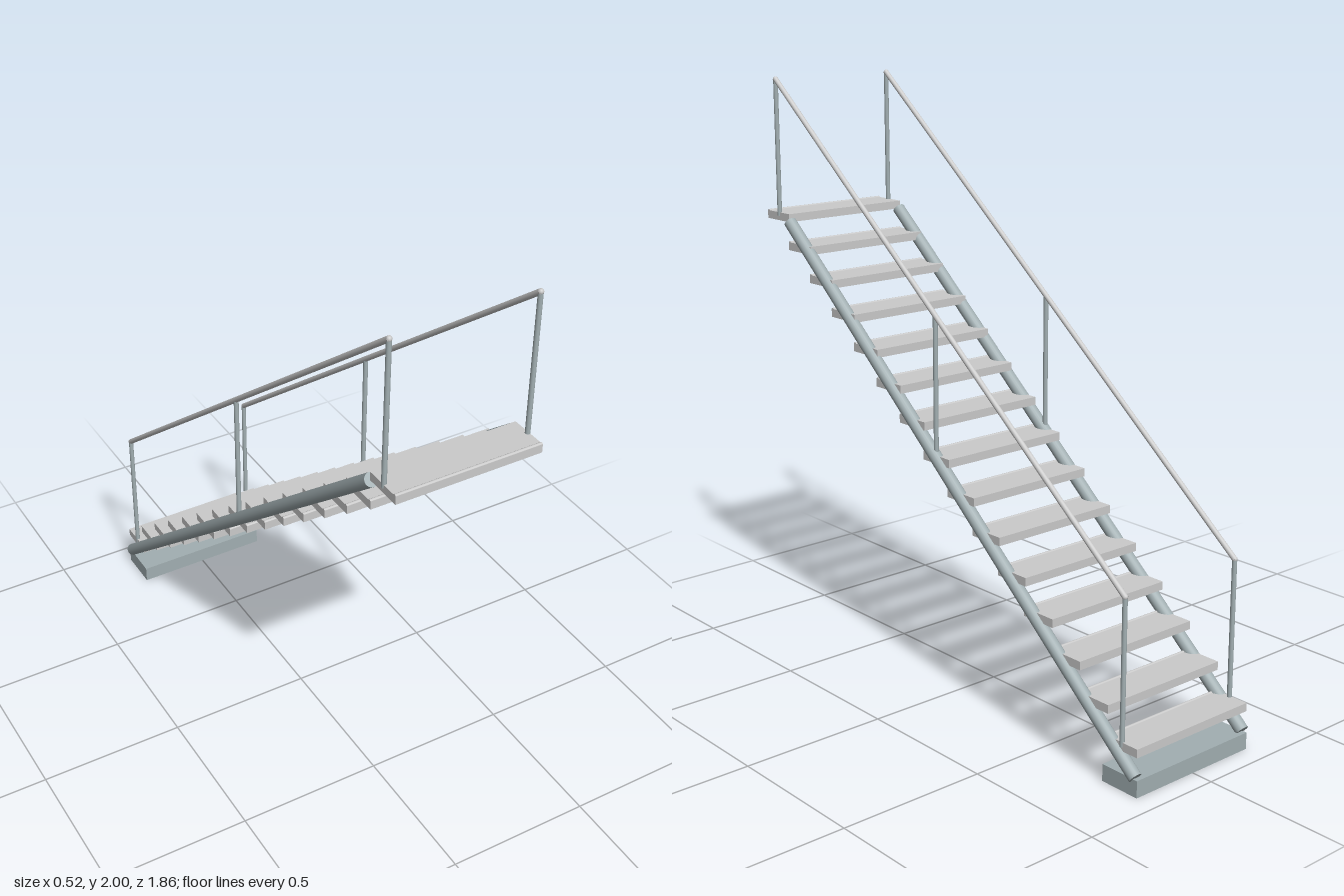
import * as THREE from 'three';

const grey = new THREE.MeshStandardMaterial({ color: 0xcccccc });
const steel = new THREE.MeshStandardMaterial({ color: 0xa2afb2 });

function add(parent, name, geometry, material, x, y, z) {
  const mesh = new THREE.Mesh(geometry, material);
  mesh.name = name;
  mesh.position.set(x, y, z);
  parent.add(mesh);
  return mesh;
}

// Round bar between two points [y, z] at a given x
function bar(parent, name, x, from, to, radius, material) {
  const a = new THREE.Vector3(x, from[0], from[1]);
  const b = new THREE.Vector3(x, to[0], to[1]);
  const dir = b.clone().sub(a);
  const mid = a.clone().add(b).multiplyScalar(0.5);
  const geometry = new THREE.CylinderGeometry(radius, radius, dir.length(), 20);
  const mesh = add(parent, name, geometry, material, mid.x, mid.y, mid.z);
  mesh.quaternion.setFromUnitVectors(new THREE.Vector3(0, 1, 0), dir.normalize());
}

export function createModel() {
  const model = new THREE.Group();
  model.name = 'staircase';

  // Footing block under the low end
  add(model, 'footing', new THREE.BoxGeometry(0.488, 0.056, 0.145), steel, 0, 0.028, -0.853);

  // Open treads, each with a thin raised lip along its +z edge
  const treadGeometry = new THREE.BoxGeometry(0.485, 0.028, 0.13);
  const lipGeometry = new THREE.CylinderGeometry(0.006, 0.006, 0.485, 10).rotateZ(Math.PI / 2);
  for (let i = 0; i < 15; i++) {
    const step = new THREE.Group();
    step.name = 'step' + (i + 1);
    step.position.set(0, 0.142 + i * 0.0983, -0.857 + i * 0.1231);
    add(step, 'tread', treadGeometry, grey, 0, 0, 0);
    add(step, 'lip', lipGeometry, grey, 0, 0.012, 0.059);
    model.add(step);
  }

  // Pipe stringer and handrail on both sides
  const railY = (z) => 1.302 + (z - 0.005) * 0.8;
  for (const side of [-1, 1]) {
    const group = new THREE.Group();
    group.name = side > 0 ? 'leftSide' : 'rightSide';
    const x = side * 0.238;
    bar(group, 'stringer', x, [0.06, -0.912], [1.504, 0.802], 0.022, steel);

    const posts = [[-0.855, 0.14], [0.008, 0.84], [0.865, 1.52]];
    for (const [z, foot] of posts) {
      bar(group, 'post', x, [foot, z], [railY(z), z], 0.008, steel);
    }
    bar(group, 'handrail', x, [railY(-0.857), -0.857], [railY(0.867), 0.867], 0.009, grey);
    for (const z of [-0.855, 0.865]) {
      add(group, 'railElbow', new THREE.SphereGeometry(0.009, 12, 8), grey, x, railY(z), z);
    }
    model.add(group);
  }
  return model;
}
